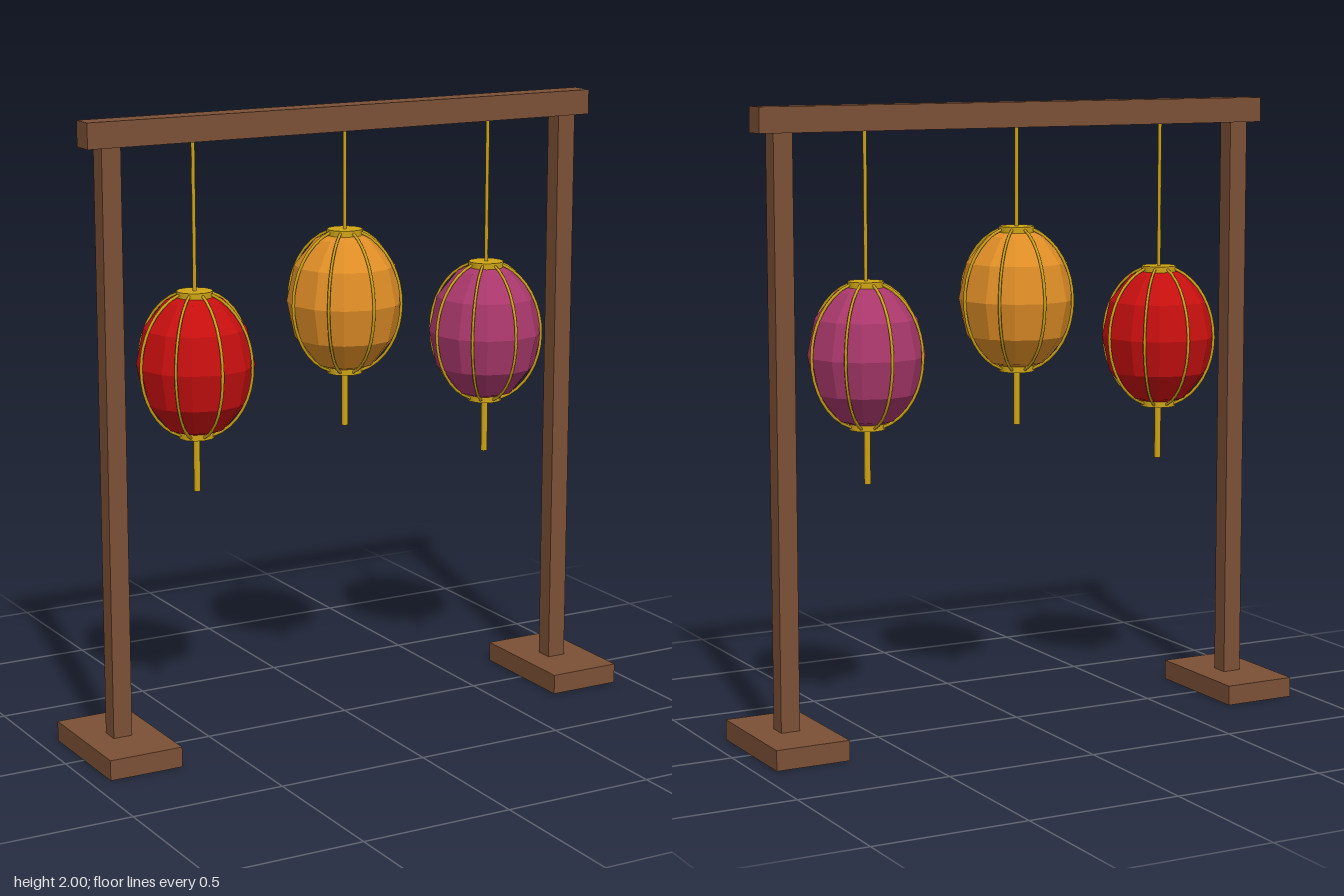
import * as THREE from 'three';

const paint = (name, color) => {
  const m = new THREE.MeshStandardMaterial({ color });
  m.name = name;
  return m;
};

// Separate the faces so each one shades flat
function faceted(geometry) {
  const g = geometry.toNonIndexed();
  g.computeVertexNormals();
  return g;
}

function add(parent, name, geometry, material, x = 0, y = 0, z = 0) {
  const mesh = new THREE.Mesh(geometry, material);
  mesh.name = name;
  mesh.position.set(x, y, z);
  parent.add(mesh);
  return mesh;
}

const RADIUS = 0.185, HALF_HEIGHT = 0.232, BEAM_BOTTOM = 1.92;

function createLantern(name, x, y, paper, gold) {
  const lantern = new THREE.Group();
  lantern.name = name;
  lantern.position.set(x, y, 0);

  // Faceted paper body
  const body = new THREE.SphereGeometry(RADIUS, 12, 6);
  body.scale(1, HALF_HEIGHT / RADIUS, 1);
  add(lantern, 'paperBody', faceted(body), paper);

  // Eight curved ribs running from cap to cap
  const points = [];
  for (let i = 0; i <= 12; i++) {
    const a = THREE.MathUtils.lerp(-1.3, 1.3, i / 12);
    points.push(new THREE.Vector3(0.186 * Math.cos(a), 0.233 * Math.sin(a), 0));
  }
  const ribGeometry = new THREE.TubeGeometry(new THREE.CatmullRomCurve3(points), 16, 0.005, 5);
  for (let i = 0; i < 8; i++) {
    add(lantern, 'rib', ribGeometry, gold).rotation.y = i * Math.PI / 4;
  }

  // Caps, hanging cord and tassel
  const cap = new THREE.CylinderGeometry(0.057, 0.057, 0.02, 12);
  add(lantern, 'topCap', cap, gold, 0, 0.222);
  add(lantern, 'bottomCap', cap, gold, 0, -0.222);
  const cordLength = BEAM_BOTTOM - y - 0.23;
  add(lantern, 'cord', new THREE.CylinderGeometry(0.006, 0.006, cordLength, 6), gold,
    0, 0.23 + cordLength / 2);
  add(lantern, 'tassel', new THREE.CylinderGeometry(0.011, 0.011, 0.175, 8), gold, 0, -0.3175);
  return lantern;
}

export function createModel() {
  const model = new THREE.Group();
  model.name = 'lanternStand';
  const wood = paint('brown wood', 0x7b4f35);
  const gold = paint('gold', 0xd0a515);
  const red = paint('red paper', 0xc80f0f);
  const orange = paint('orange paper', 0xe08e26);
  const purple = paint('purple paper', 0xaa386c);

  // Wooden frame
  add(model, 'crossBeam', new THREE.BoxGeometry(1.79, 0.08, 0.077), wood, 0, 1.96);
  for (const side of [-1, 1]) {
    add(model, 'post', new THREE.BoxGeometry(0.063, 1.855, 0.06), wood, side * 0.815, 0.9925);
    add(model, 'foot', new THREE.BoxGeometry(0.244, 0.065, 0.405), wood, side * 0.815, 0.0325);
  }

  // Hanging lanterns
  model.add(createLantern('redLantern', -0.53, 1.225, red, gold));
  model.add(createLantern('orangeLantern', 0, 1.375, orange, gold));
  model.add(createLantern('purpleLantern', 0.53, 1.225, purple, gold));
  return model;
}
